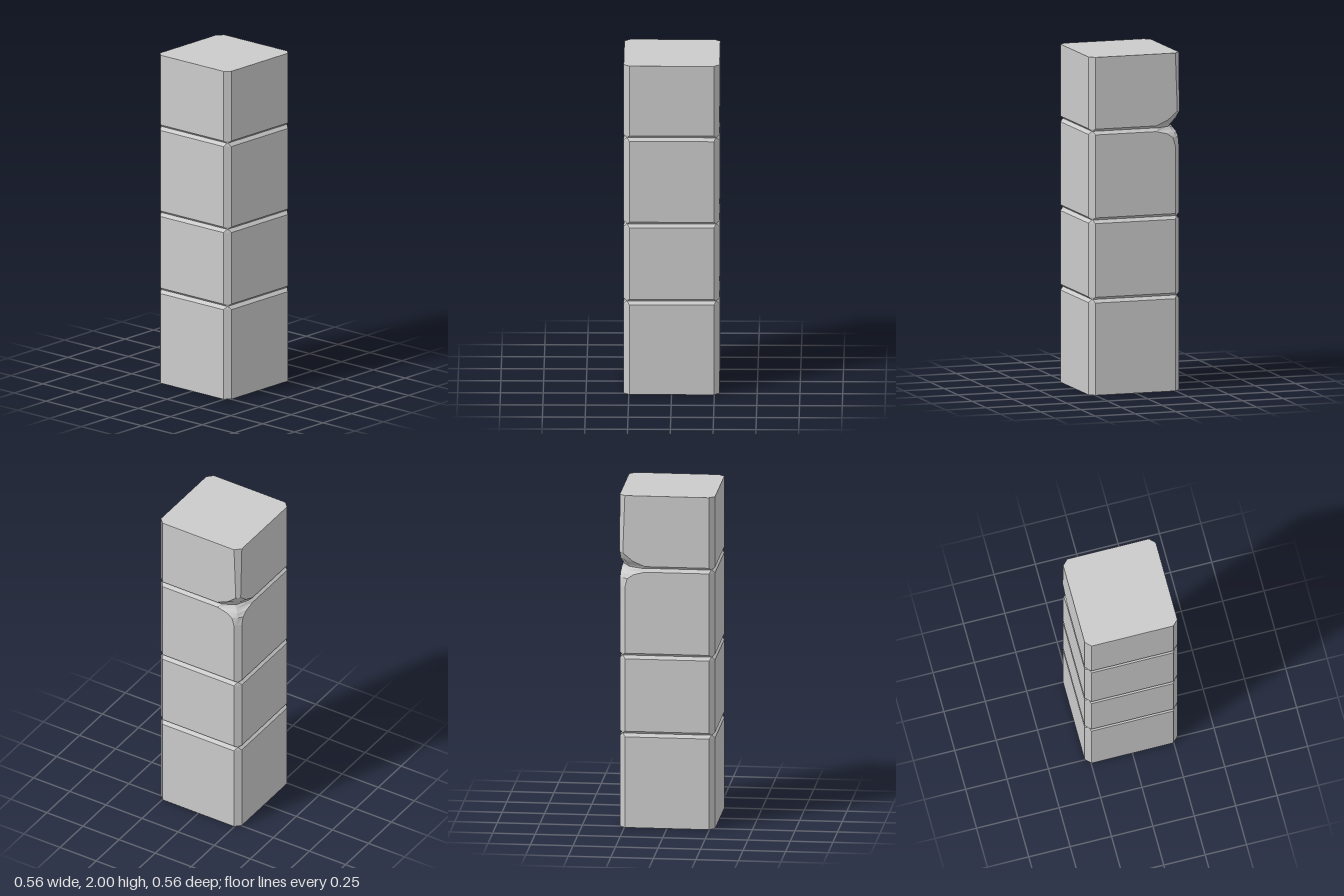
import * as THREE from 'three';

const HALF = 0.28, CUT = 0.247; // half width, and where the corner bevel starts

// Cross-section of the pillar, counterclockwise from above.
// a and m shape the back-left corner, which is chipped in places.
function ring({ y, h = HALF, c = CUT, a = c, m = (h + a) / 2 }) {
  return [
    [h, -a], [m, -m], [a, -h],
    [-c, -h], [-h, -c],
    [-h, c], [-c, h],
    [c, h], [h, c],
  ].map(([x, z]) => [x, y, z]);
}

const groove = (y) => ({ y, h: 0.262, c: 0.26 });

// Levels of each block, from the bottom up
const blocks = {
  bottomBlock: [{ y: 0 }, { y: 0.546 }, groove(0.565)],
  lowerMiddleBlock: [groove(0.565), { y: 0.58 }, { y: 1.016 }, groove(1.035)],
  upperMiddleBlock: [
    groove(1.035), { y: 1.05 }, { y: 1.45 },
    { y: 1.5, a: 0.233, m: 0.26 },
    { y: 1.525, a: 0.195, m: 0.25 },
    { y: 1.541, a: 0.13, m: 0.237 },
    { ...groove(1.56), a: 0.15, m: 0.225 },
  ],
  topBlock: [
    { ...groove(1.56), a: 0.15, m: 0.225 },
    { y: 1.575, a: 0.13, m: 0.232 },
    { y: 1.605, a: 0.2, m: 0.25 },
    { y: 1.655, a: 0.259 },
    { y: 2 },
  ],
};

// Skin the rings, closing the ends
function loft(levels) {
  const rings = levels.map(ring), n = rings[0].length, pos = [];
  const tri = (...points) => points.forEach((p) => pos.push(...p));
  for (let k = 0; k < rings.length - 1; k++) {
    const lo = rings[k], hi = rings[k + 1];
    for (let i = 0; i < n; i++) {
      const j = (i + 1) % n;
      tri(lo[i], lo[j], hi[j]);
      tri(lo[i], hi[j], hi[i]);
    }
  }
  const first = rings[0], last = rings[rings.length - 1];
  for (let i = 1; i < n - 1; i++) {
    tri(first[0], first[i + 1], first[i]);
    tri(last[0], last[i], last[i + 1]);
  }
  const geometry = new THREE.BufferGeometry();
  geometry.setAttribute('position', new THREE.Float32BufferAttribute(pos, 3));
  geometry.computeVertexNormals();
  return geometry;
}

export function createModel() {
  const group = new THREE.Group();
  group.name = 'stonePillar';
  const stone = new THREE.MeshStandardMaterial({ color: 0xcccccc, flatShading: true });
  for (const [name, levels] of Object.entries(blocks)) {
    const mesh = new THREE.Mesh(loft(levels), stone);
    mesh.name = name;
    group.add(mesh);
  }
  return group;
}
